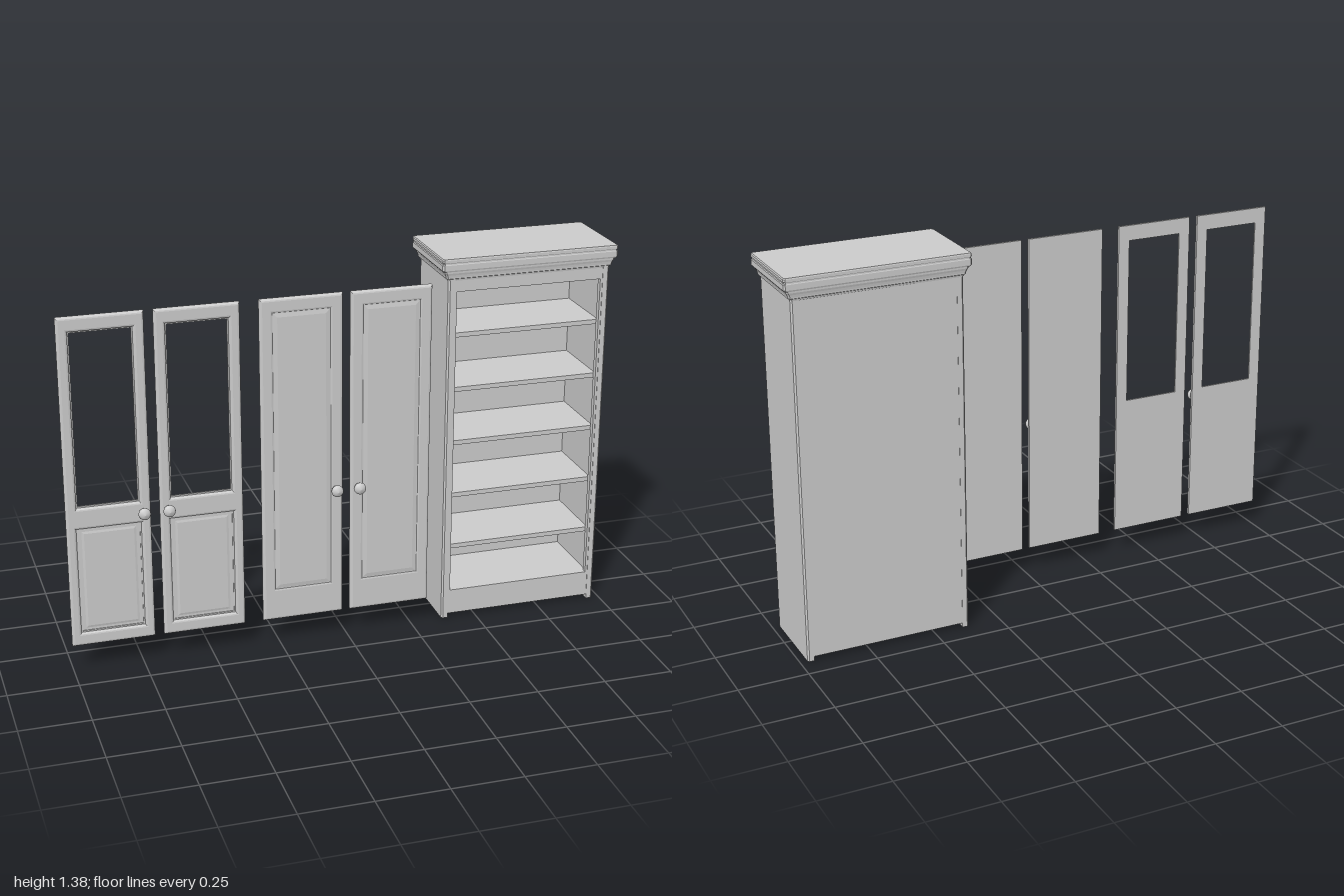
import * as THREE from 'three';

const mat = new THREE.MeshStandardMaterial({ color: 0xcccccc, flatShading: true });
const smooth = new THREE.MeshStandardMaterial({ color: 0xcccccc });

function add(parent, name, geometry, x = 0, y = 0, z = 0, material = mat) {
  const mesh = new THREE.Mesh(geometry, material);
  mesh.name = name;
  mesh.position.set(x, y, z);
  parent.add(mesh);
  return mesh;
}

// Box given by its limits
function block(parent, name, x0, x1, y0, y1, z0, z1) {
  return add(parent, name, new THREE.BoxGeometry(x1 - x0, y1 - y0, z1 - z0),
    (x0 + x1) / 2, (y0 + y1) / 2, (z0 + z1) / 2);
}

function rect(Type, x0, x1, y0, y1) {
  return new Type([[x0, y0], [x1, y0], [x1, y1], [x0, y1]].map(p => new THREE.Vector2(...p)));
}

// Loft through chamfered rectangles; each section is [y, halfWidth, halfDepth]
function loftRects(sections, c) {
  const pos = [], index = [], n = 8;
  for (const [y, w, d] of sections) {
    for (const [x, z] of [[w, d - c], [w - c, d], [c - w, d], [-w, d - c],
      [-w, c - d], [c - w, -d], [w - c, -d], [w, c - d]]) pos.push(x, y, z);
  }
  for (let s = 0; s < sections.length - 1; s++) {
    for (let i = 0; i < n; i++) {
      const a = s * n + i, b = s * n + (i + 1) % n;
      index.push(a, a + n, b, b, a + n, b + n);
    }
  }
  // Bottom and top caps
  const t = (sections.length - 1) * n;
  for (let i = 1; i < n - 1; i++) index.push(0, i, i + 1, t, t + i + 1, t + i);
  const g = new THREE.BufferGeometry();
  g.setAttribute('position', new THREE.Float32BufferAttribute(pos, 3));
  g.setIndex(index);
  const flat = g.toNonIndexed();
  flat.computeVertexNormals();
  return flat;
}

// Door leaf: rounded front edges, flat back, origin at the bottom centre of the back
function leafGeometry(w, h, holes) {
  const shape = rect(THREE.Shape, -w / 2, w / 2, 0, h);
  for (const o of holes) shape.holes.push(rect(THREE.Path, ...o));
  const bevel = 0.009;
  const g = new THREE.ExtrudeGeometry(shape, {
    depth: 0.008, bevelThickness: bevel, bevelSize: bevel, bevelOffset: -bevel, bevelSegments: 3,
  });
  const p = g.attributes.position;
  for (let i = 0; i < p.count; i++) p.setZ(i, Math.max(0, p.getZ(i)));
  g.computeVertexNormals();
  return g;
}

// Flat bead lining the inside of an opening
function beadGeometry(x, y0, y1, depth) {
  const shape = rect(THREE.Shape, -x - 0.004, x + 0.004, y0 - 0.004, y1 + 0.004);
  shape.holes.push(rect(THREE.Path, 0.005 - x, x - 0.005, y0 + 0.005, y1 - 0.005));
  return new THREE.ExtrudeGeometry(shape, { depth, bevelEnabled: false });
}

// Raised field with sloping borders, facing +z
function fieldGeometry(w, h, depth, slope) {
  const g = loftRects([[0, w / 2, h / 2], [depth, w / 2 - slope, h / 2 - slope]], 0.0005);
  return g.rotateX(Math.PI / 2);
}

function knobGeometry() {
  const profile = [[0, 0], [0.012, 0], [0.011, 0.003], [0.007, 0.005], [0.007, 0.009], [0.014, 0.011],
    [0.0195, 0.016], [0.0215, 0.023], [0.0195, 0.031], [0.012, 0.037], [0, 0.04]];
  return new THREE.LatheGeometry(profile.map(p => new THREE.Vector2(...p)), 24).rotateX(Math.PI / 2);
}

function door(name, x, side, glazed) {
  const g = new THREE.Group();
  g.name = name;
  const w = 0.294, h = 1.2;
  if (glazed) {
    add(g, 'doorFrame', leafGeometry(w, h, [[-0.109, 0.109, 0.518, 1.148], [-0.113, 0.113, 0.048, 0.441]]));
    add(g, 'windowBead', beadGeometry(0.109, 0.518, 1.148, 0.006));
    block(g, 'lowerPanel', -0.117, 0.117, 0.044, 0.445, 0, 0.005);
    add(g, 'panelBead', beadGeometry(0.113, 0.048, 0.441, 0.008));
    add(g, 'raisedField', fieldGeometry(0.19, 0.365, 0.002, 0.008), 0, 0.2445, 0.005);
  } else {
    add(g, 'doorFrame', leafGeometry(w, h, [[-0.1, 0.1, 0.122, 1.148]]));
    block(g, 'doorPanel', -0.105, 0.105, 0.117, 1.153, 0, 0.0145);
    add(g, 'raisedField', fieldGeometry(0.2, 1.026, 0.0025, 0.014), 0, 0.635, 0.0145);
  }
  add(g, 'knob', knobGeometry(), side * 0.12, 0.482, 0.017, smooth);
  g.position.set(x, 0.097, 0.13);
  return g;
}

function cabinet() {
  const g = new THREE.Group();
  g.name = 'cabinet';
  const W = 0.302, D = 0.15, T = 0.024, c = 0.006;

  // Side panels reach the floor and have eased outer corners
  for (const s of [1, -1]) {
    const plan = [[W - T, -D], [W - c, -D], [W, c - D], [W, D - c], [W - c, D], [W - T, D]];
    const shape = new THREE.Shape(plan.map(([x, y]) => new THREE.Vector2(s * x, y)));
    const panel = new THREE.ExtrudeGeometry(shape, { depth: 1.305, bevelEnabled: false });
    add(g, 'sidePanel', panel.rotateX(-Math.PI / 2));
  }

  // Carcass between the sides
  const I = W - T;
  block(g, 'backPanel', -I, I, 0.016, 1.305, -D + 0.001, -D + 0.015);
  block(g, 'plinth', -I, I, 0.016, 0.11, -D + 0.001, D - 0.002);
  block(g, 'header', -I, I, 1.257, 1.305, -D + 0.001, D - 0.002);
  for (const s of [1, -1]) {
    const x = s * (I - 0.004);
    block(g, 'stile', x - 0.004, x + 0.004, 0.11, 1.257, D - 0.022, D - 0.002);
  }
  for (let i = 0; i < 5; i++) {
    const top = 0.286 + i * 0.2035;
    block(g, 'shelf', -I, I, top - 0.017, top, -D + 0.015, D - 0.023);
  }

  // Crown moulding: [height, share of the full overhang]
  const profile = [[1.298, 0], [1.305, 0.1], [1.307, 0.3], [1.312, 0.32], [1.32, 0.42], [1.327, 0.58],
    [1.333, 0.6], [1.334, 0.85], [1.339, 1], [1.358, 1], [1.361, 0.9], [1.365, 0.9], [1.367, 1],
    [1.376, 1], [1.38, 0.88]];
  const crown = loftRects(profile.map(([y, f]) => [y, W + 0.001 + 0.025 * f, D + 0.001 + 0.0135 * f]), 0.006);
  add(g, 'crown', crown, 0, 0, -0.002);

  g.position.set(0.672, 0, -0.021);
  return g;
}

export function createModel() {
  const model = new THREE.Group();
  model.name = 'cabinetWithDoors';
  model.add(cabinet());
  model.add(door('glazedDoorRight', -0.853, 1, true));
  model.add(door('glazedDoorLeft', -0.526, -1, true));
  model.add(door('panelDoorRight', -0.164, 1, false));
  model.add(door('panelDoorLeft', 0.159, -1, false));
  return model;
}
